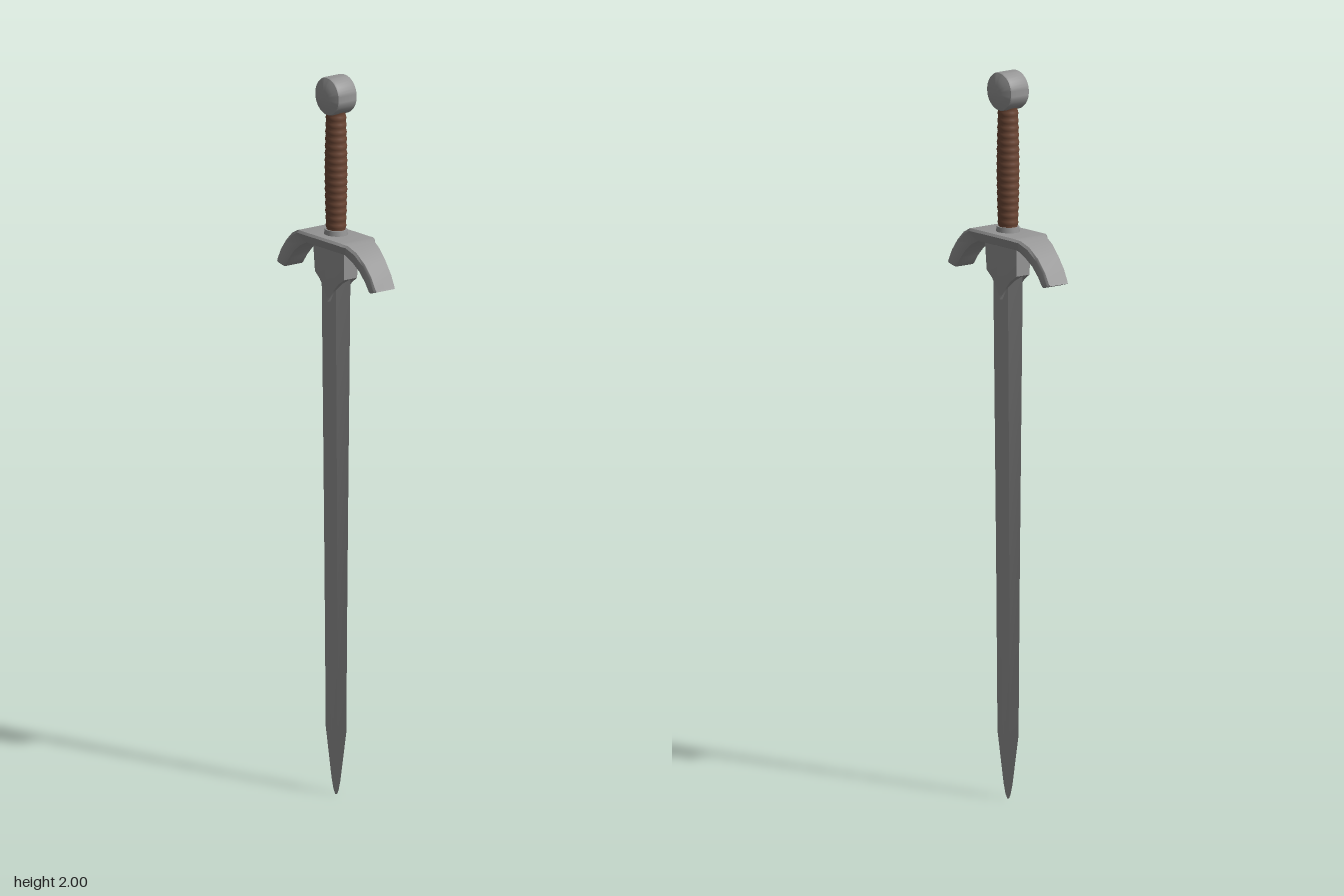
import * as THREE from 'three';
import { toCreasedNormals } from 'three/addons/utils/BufferGeometryUtils.js';

// Skin a list of equal-length rings (counter-clockwise around the travel direction) and cap both ends
function loft(rings, crease) {
  const n = rings[0].length, last = (rings.length - 1) * n, index = [];
  for (let i = 0; i < rings.length - 1; i++) {
    for (let j = 0; j < n; j++) {
      const a = i * n + j, b = i * n + (j + 1) % n;
      index.push(a, b, b + n, a, b + n, a + n);
    }
  }
  for (let j = 1; j < n - 1; j++) {
    index.push(0, j + 1, j, last, last + j, last + j + 1);
  }
  const geometry = new THREE.BufferGeometry();
  geometry.setAttribute('position', new THREE.Float32BufferAttribute(rings.flat(2), 3));
  geometry.setIndex(index);
  return toCreasedNormals(geometry, crease);
}

export function createModel() {
  const steel = new THREE.MeshStandardMaterial({ name: 'steel', color: 0x969696 });
  const leather = new THREE.MeshStandardMaterial({ name: 'brownLeather', color: 0x6e4836 });
  const group = new THREE.Group();
  group.name = 'sword';
  const add = (name, geometry, material) => {
    const mesh = new THREE.Mesh(geometry, material);
    mesh.name = name;
    group.add(mesh);
    return mesh;
  };

  // Blade: [height, half width, half thickness], bevelled edges and a soft central ridge
  const blade = [
    [0, 0.004, 0.002], [0.012, 0.011, 0.003], [0.04, 0.019, 0.004],
    [0.18, 0.045, 0.008], [0.6, 0.05, 0.011], [1.0, 0.056, 0.015], [1.38, 0.062, 0.02], [1.53, 0.064, 0.021],
  ].map(([y, w, t]) => [
    [0, 1], [0.35, 0.87], [1, 0], [0.35, -0.87], [0, -1], [-0.35, -0.87], [-1, 0], [-0.35, 0.87],
  ].map(([x, z]) => [x * w, y, z * t]));
  add('blade', loft(blade, 0.15), steel);

  // Ridged collar that ends in a curved point over the top of the blade
  const collar = [
    [1.375, 0.001, 0.026, 0.029], [1.39, 0.009, 0.026, 0.03], [1.41, 0.022, 0.025, 0.032],
    [1.43, 0.04, 0.024, 0.034], [1.447, 0.064, 0.022, 0.036], [1.53, 0.067, 0.026, 0.04],
  ].map(([y, w, edge, ridge]) => [
    [0, y, ridge], [w, y, edge], [w, y, -edge], [0, y, -ridge], [-w, y, -edge], [-w, y, edge],
  ]);
  add('bladeCollar', loft(collar, 0.4), steel);

  // Crossguard: [top x, top y, bottom x, bottom y, half depth, depth ratio of the underside]
  const half = [
    [0.092, 1.56, 0.07, 1.525, 0.061, 0.72], [0.101, 1.558, 0.078, 1.525, 0.058, 0.75],
    [0.11, 1.555, 0.086, 1.523, 0.05, 0.8], [0.14, 1.541, 0.115, 1.509, 0.044, 0.88],
    [0.172, 1.514, 0.143, 1.488, 0.039, 0.92], [0.198, 1.482, 0.166, 1.463, 0.037, 0.94],
    [0.214, 1.452, 0.182, 1.439, 0.036, 0.94], [0.218, 1.446, 0.186, 1.436, 0.034, 0.94],
  ];
  const mirrored = half.map(([tx, ty, bx, ...rest]) => [-tx, ty, -bx, ...rest]).reverse();
  const guard = [...mirrored, ...half].map(([tx, ty, bx, by, d, k]) => [
    [1, -0.9], [1, 0.9], [0.82, 1], [0.18, k], [0, 0.88 * k], [0, -0.88 * k], [0.18, -k], [0.82, -1],
  ].map(([u, z]) => [bx + (tx - bx) * u, by + (ty - by) * u, z * d]));
  add('crossguard', loft(guard, 0.65), steel);

  // Small ferrule between guard and grip
  const ferrule = add('ferrule', new THREE.CylinderGeometry(0.033, 0.035, 0.016, 32), steel);
  ferrule.position.y = 1.566;
  ferrule.scale.z = 0.88;

  // Leather grip with wrapped ridges, slightly fuller in the middle and oval in section
  const profile = [], wraps = 17, steps = wraps * 4;
  for (let i = 0; i <= steps; i++) {
    const t = i / steps;
    const r = 0.0285 + 0.004 * Math.sin(Math.PI * t) + 0.0012 * Math.cos(i * Math.PI / 2);
    profile.push(new THREE.Vector2(r, 1.565 + 0.34 * t));
  }
  add('grip', new THREE.LatheGeometry(profile, 28), leather).scale.z = 0.88;

  // Disc pommel with domed front and back faces
  const disc = [
    [0, -0.043], [0.018, -0.042], [0.034, -0.038], [0.046, -0.033], [0.051, -0.031], [0.053, -0.027],
    [0.053, 0.027], [0.051, 0.031], [0.046, 0.033], [0.034, 0.038], [0.018, 0.042], [0, 0.043],
  ].map(([r, z]) => new THREE.Vector2(r, z));
  const pommel = new THREE.LatheGeometry(disc, 40).rotateX(Math.PI / 2);
  add('pommel', toCreasedNormals(pommel, 0.6), steel).position.y = 1.947;

  return group;
}
